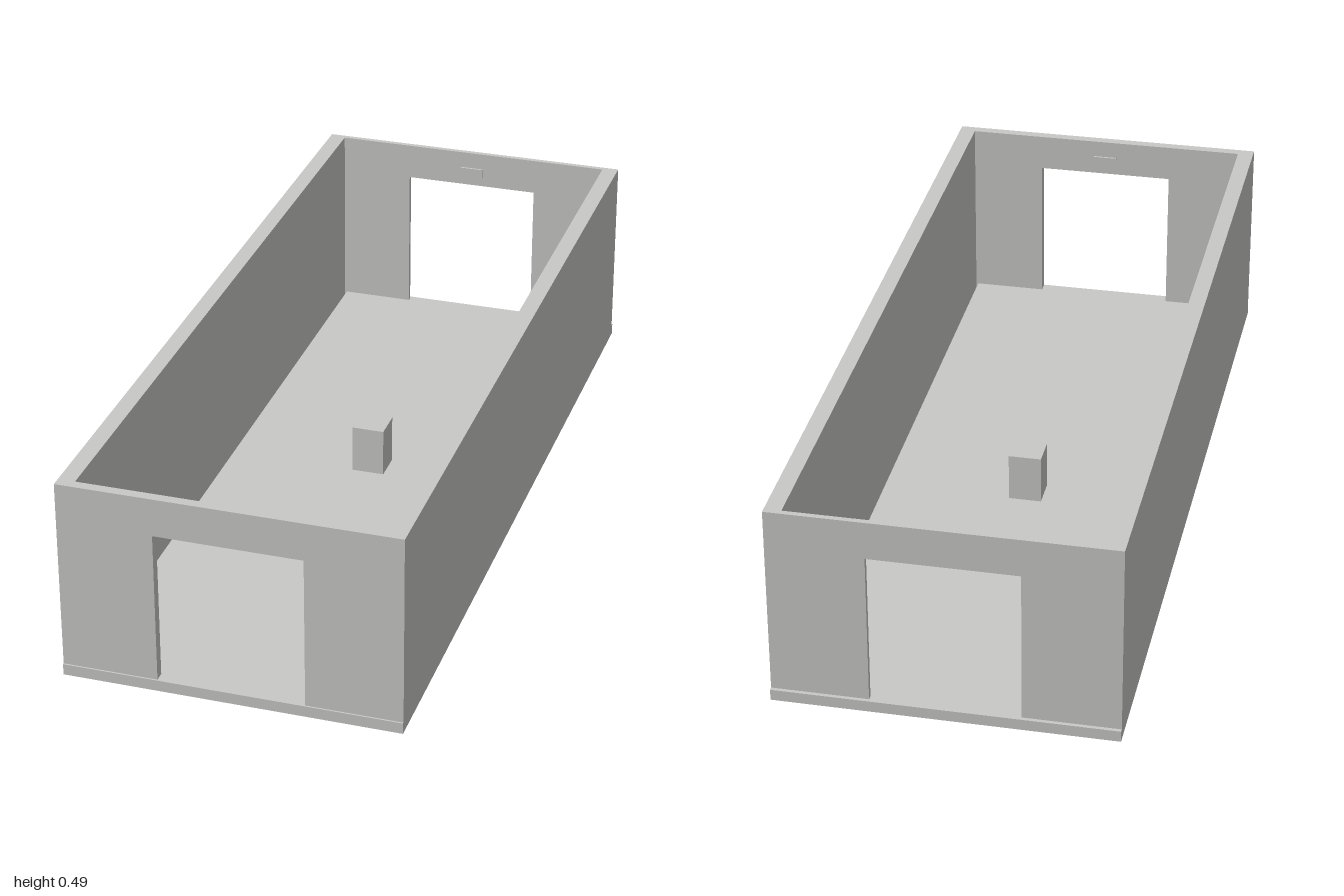
import * as THREE from 'three';

const HALF_W = 0.397, INNER_W = 0.357, TOP = 0.49;
const PLATE = 0.005, FLOOR = 0.027;
const FRONT = 0.996, BACK = -0.991, IN_FRONT = 0.972, IN_BACK = -0.978;

export function createModel() {
  const group = new THREE.Group();
  const concrete = new THREE.MeshStandardMaterial({ color: 0xc8c8c6 });
  concrete.name = 'light grey concrete';

  const add = (name, geometry) => {
    const mesh = new THREE.Mesh(geometry, concrete);
    mesh.name = name;
    group.add(mesh);
    return mesh;
  };
  // Box given by its lower and upper corners
  const box = (name, x0, x1, y0, y1, z0, z1) =>
    add(name, new THREE.BoxGeometry(x1 - x0, y1 - y0, z1 - z0))
      .position.set((x0 + x1) / 2, (y0 + y1) / 2, (z0 + z1) / 2);

  // Ground plate, and floor slab with a narrow groove along each side wall
  box('basePlate', -HALF_W, HALF_W, 0, PLATE, -1, 1);
  box('floor', -INNER_W + 0.005, INNER_W - 0.005, PLATE, FLOOR, BACK, FRONT);

  // Long side walls, set between the end walls
  box('rightWall', -HALF_W, -INNER_W, PLATE, TOP, IN_BACK, IN_FRONT);
  box('leftWall', INNER_W, HALF_W, PLATE, TOP, IN_BACK, IN_FRONT);

  // End walls: one upside-down U outline around the doorway
  const outline = [
    [-HALF_W, PLATE], [-0.173, PLATE], [-0.173, 0.398], [0.172, 0.398],
    [0.172, PLATE], [HALF_W, PLATE], [HALF_W, TOP], [-HALF_W, TOP],
  ];
  const endShape = new THREE.Shape(outline.map(([x, y]) => new THREE.Vector2(x, y)));
  const endWall = (name, z0, z1) =>
    add(name, new THREE.ExtrudeGeometry(endShape, { depth: z1 - z0, bevelEnabled: false }))
      .position.z = z0;
  endWall('frontWall', IN_FRONT, FRONT);
  endWall('backWall', BACK, IN_BACK);

  // Door sills standing slightly proud of the end walls
  box('frontSill', -HALF_W, HALF_W, PLATE, FLOOR, FRONT, 1);
  box('backSill', -HALF_W, HALF_W, PLATE, FLOOR, -1, BACK);

  // Small plates over the doorways, on the inside
  box('frontDoorPlate', -0.03, 0.03, 0.423, 0.447, IN_FRONT - 0.005, IN_FRONT);
  box('backDoorPlate', -0.03, 0.03, 0.423, 0.447, IN_BACK, IN_BACK + 0.005);

  // Short block in the middle of the room
  box('pedestal', -0.04, 0.04, FLOOR, 0.147, -0.107, -0.03);

  return group;
}
